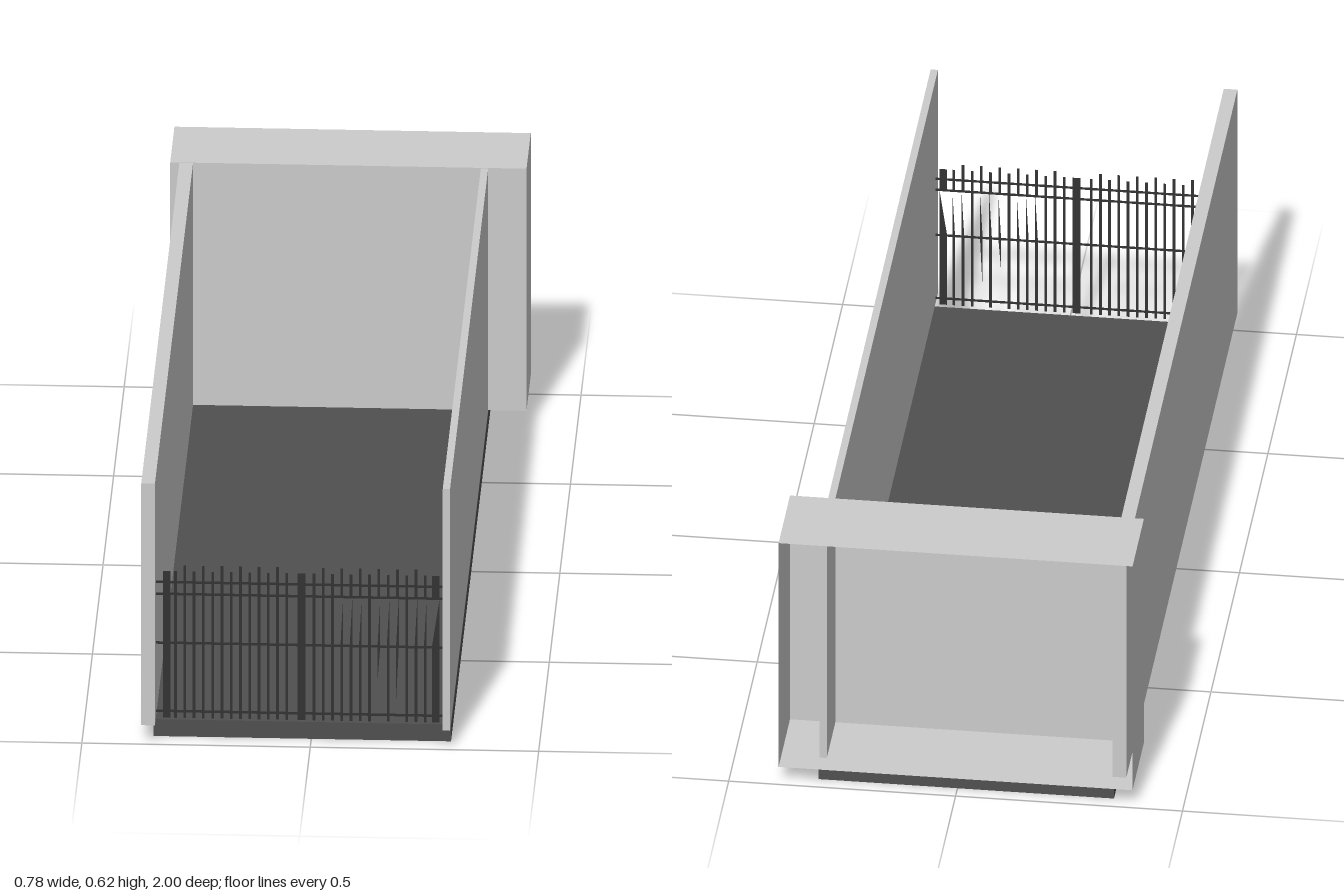
import * as THREE from 'three';

const grey = new THREE.MeshStandardMaterial({ color: 0xcccccc, side: THREE.DoubleSide });
const slab = new THREE.MeshStandardMaterial({ color: 0x505050 });
const iron = new THREE.MeshStandardMaterial({ color: 0x333333, side: THREE.DoubleSide });

function add(parent, name, geometry, material) {
  const mesh = new THREE.Mesh(geometry, material);
  mesh.name = name;
  parent.add(mesh);
  return mesh;
}

// Box given by its two extreme corners
function box(parent, name, [x0, y0, z0], [x1, y1, z1], material) {
  const g = new THREE.BoxGeometry(x1 - x0, y1 - y0, z1 - z0);
  g.translate((x0 + x1) / 2, (y0 + y1) / 2, (z0 + z1) / 2);
  return add(parent, name, g, material);
}

// Flat polygon in the fence plane
function flat(parent, name, points) {
  const shape = new THREE.Shape(points.map(([x, y]) => new THREE.Vector2(x, y)));
  return add(parent, name, new THREE.ShapeGeometry(shape), iron);
}

const strip = (parent, name, x0, y0, x1, y1) =>
  flat(parent, name, [[x0, y0], [x1, y0], [x1, y1], [x0, y1]]);

function createFence() {
  const fence = new THREE.Group();
  fence.name = 'fence';
  const bottom = 0.045, mid = 0.223, upper = 0.339;

  // Horizontal rails
  for (const y of [0.061, mid, upper, 0.367])
    strip(fence, 'fenceRail', -0.34, y - 0.003, 0.29, y + 0.003);

  // Wide posts; the last one is torn between the middle rails
  for (const x of [-0.316, -0.021]) strip(fence, 'fencePost', x - 0.0085, bottom, x + 0.0085, 0.393);
  strip(fence, 'fencePost', 0.264, bottom, 0.281, mid);
  strip(fence, 'fencePost', 0.264, upper, 0.281, 0.393);
  flat(fence, 'tornPost', [[0.264, mid], [0.281, mid], [0.281, upper]]);

  // Thin bars of alternating height, two bays of thirteen
  const torn = [3, 4, 5, 7, 8, 9, 11, 12];
  const tornBelow = { 7: 0.14, 9: 0.09 };
  [-0.297, 0.006].forEach((start, bay) => {
    for (let i = 0; i < 13; i++) {
      const x = start + i * 0.0203, a = x - 0.003, b = x + 0.003;
      const top = i % 2 ? 0.407 : 0.393;
      if (bay === 0 || !torn.includes(i)) {
        strip(fence, 'fenceBar', a, bottom, b, top);
        continue;
      }
      strip(fence, 'fenceBar', a, upper, b, top);
      flat(fence, 'tornBar', [[a, mid], [b, mid], [b, upper]]);
      if (tornBelow[i]) flat(fence, 'tornBar', [[a, mid], [a, tornBelow[i]], [b, mid]]);
      else strip(fence, 'fenceBar', a, bottom, b, mid);
    }
  });
  fence.position.z = 0.955;
  return fence;
}

export function createModel() {
  const model = new THREE.Group();
  model.name = 'walledCorridor';

  // Dark floor slab
  box(model, 'floorSlab', [-0.345, 0, -0.967], [0.306, 0.04, 0.953], slab);

  // Long side walls running into the end housing
  box(model, 'rightWall', [-0.37, 0.045, -0.95], [-0.34, 0.619, 1], grey);
  box(model, 'leftWall', [0.29, 0.045, -0.95], [0.306, 0.619, 1], grey);

  // End housing: thin shell, open at the back (the -z face is dropped)
  const shell = box(model, 'endHousing', [-0.39, 0.045, -1], [0.39, 0.62, -0.8], grey);
  shell.geometry.setIndex(Array.from(shell.geometry.index.array).slice(0, 30));

  model.add(createFence());
  return model;
}
